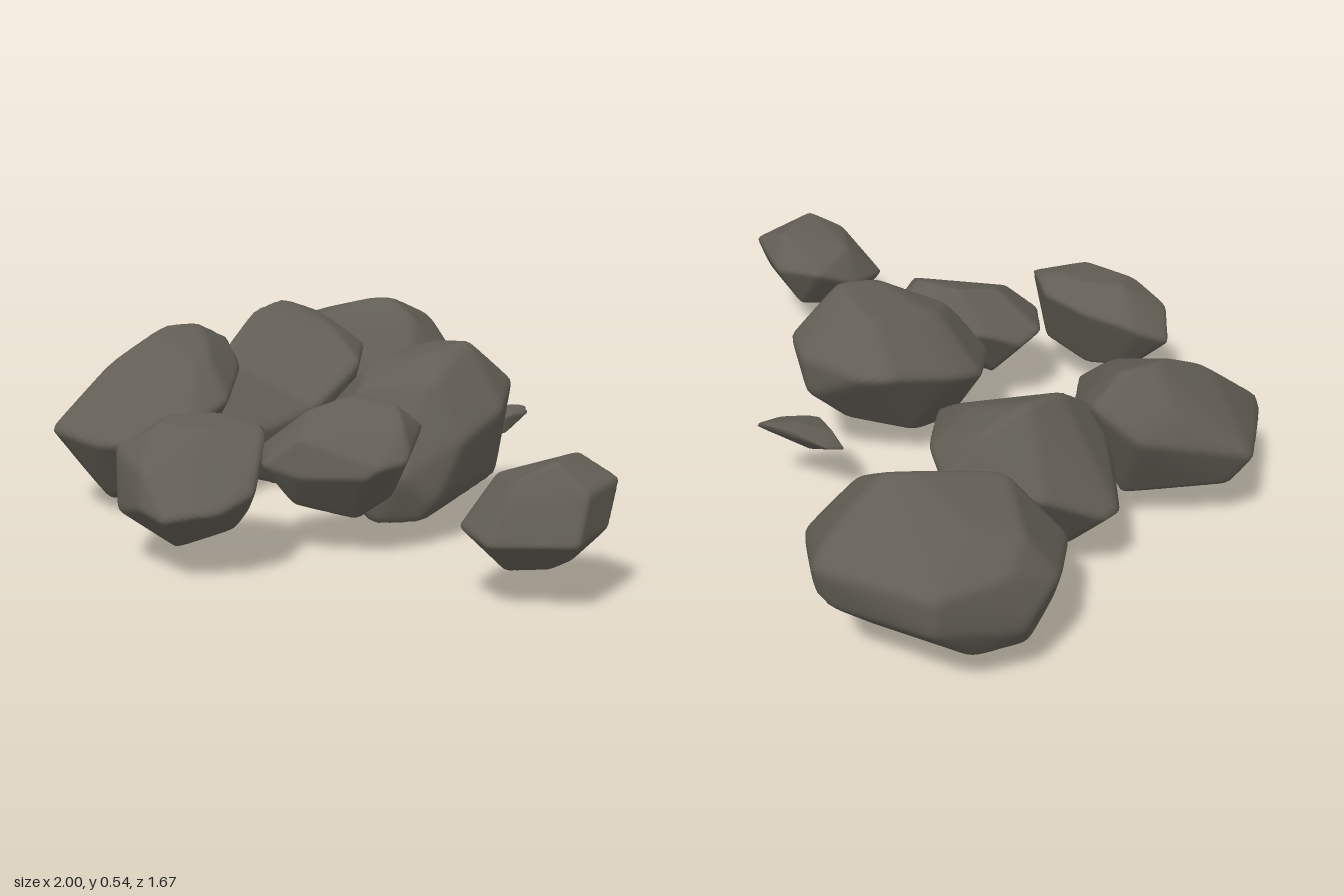
import * as THREE from 'three';
import { mergeVertices } from 'three/addons/utils/BufferGeometryUtils.js';
import { ConvexGeometry } from 'three/addons/geometries/ConvexGeometry.js';

// Corner points [x, y, z] of each boulder
const ROCKS = {
  backLeftBoulder: [
    [-.66, .36, -.84], [-.65, .27, -.82], [-.47, .32, -.74], [-.43, .3, -.64], [-.4, .25, -.48], [-.56, .25, -.3],
    [-.8, .25, -.17], [-.97, .3, -.34], [-1, .25, -.45], [-.99, .2, -.47], [-.95, .38, -.7], [-.95, .28, -.7],
    [-.97, .37, -.5], [-.64, .42, -.78], [-.6, .5, -.59], [-.78, .46, -.52], [-.7, .45, -.32], [-.9, .41, -.4],
    [-.5, .44, -.6], [-.68, .15, -.69], [-.55, .1, -.4], [-.75, .08, -.33], [-.92, .13, -.55], [-.95, .13, -.42],
    [-.5, .15, -.6], [-.84, .13, -.24], [-.62, .13, -.26]],
  middleLeftBoulder: [
    [-.56, .35, -.37], [-.45, .4, -.34], [-.3, .38, -.2], [-.29, .27, -.02], [-.4, .2, .09], [-.55, .2, .2],
    [-.73, .25, .06], [-.81, .25, 0], [-.76, .35, -.21], [-.69, .35, -.3], [-.62, .54, -.15], [-.6, .52, -.03],
    [-.58, .38, .13], [-.6, .49, -.28], [-.45, .47, -.22], [-.5, 0, .02], [-.43, .01, -.03],
    [-.6, .05, .15], [-.33, .12, -.1], [-.68, .1, -.05], [-.45, .13, -.25]],
  frontLeftBoulder: [
    [-.63, .44, .07], [-.5, .38, .1], [-.33, .33, .27], [-.3, .3, .4], [-.32, .22, .42], [-.35, .24, .57],
    [-.45, .24, .64], [-.62, .26, .68], [-.67, .24, .64], [-.84, .27, .44], [-.72, .36, .14], [-.62, .51, .28],
    [-.6, .51, .2], [-.62, .42, .48], [-.45, .44, .25], [-.72, .42, .25],
    [-.55, .04, .54], [-.48, .06, .35], [-.78, .16, .42], [-.6, .12, .2], [-.4, .1, .5]],
  frontBoulder: [
    [.07, .36, .47], [.18, .37, .52], [.25, .24, .61], [.23, .29, .6], [.23, .2, .71], [.14, .18, .82],
    [.05, .2, .83], [.04, .28, .81], [-.14, .31, .77], [-.11, .15, .79], [-.23, .25, .7], [-.2, .28, .63],
    [-.05, .34, .5], [-.1, .38, .65], [.08, .4, .55], [.1, .39, .66], [-.05, .37, .73], [0, .4, .55],
    [-.05, .1, .72], [.1, .09, .75], [.17, .13, .62], [0, .11, .59], [-.12, .13, .67], [.13, .16, .54]],
  centreBoulder: [
    [.12, .4, -.36], [.24, .4, -.32], [.12, .29, -.35], [.35, .36, -.18], [.36, .3, -.01], [.3, .2, .15],
    [.05, .25, .24], [-.12, .3, .08], [-.13, .33, -.02], [-.1, .38, -.21], [-.02, .38, -.29], [.22, .53, -.17],
    [.05, .5, -.2], [.2, .51, -.05], [.02, .47, 0], [.1, .42, .12], [.28, .45, 0],
    [.34, .13, .06], [.3, .07, .08], [.2, .06, .16], [.05, .07, .1], [.3, .16, -.2], [0, .12, -.05], [.12, .16, -.22]],
  leaningBoulder: [
    [.29, .34, .07], [.4, .3, .21], [.38, .28, .3], [.22, .24, .43], [.13, .27, .49], [0, .28, .4],
    [-.01, .26, .32], [.08, .3, .16], [.03, .31, .22], [.15, .42, .2], [.28, .41, .16], [.12, .39, .33],
    [.2, .34, .42], [.36, .37, .2], [.1, .13, .3], [.25, .11, .28], [.32, .18, .2], [.15, .15, .4]],
  outlyingBoulder: [
    [.79, .28, -.02], [.95, .32, .01], [.99, .31, .16], [1, .19, .2], [.83, .18, .34], [.71, .2, .32],
    [.66, .22, .19], [.68, .28, .06], [.9, .38, .18], [.84, .37, .04], [.72, .32, .2], [.84, .33, .26],
    [.88, .1, .17], [.77, .09, .23], [.72, .12, .22], [.78, .14, .06], [.96, .2, .06], [.95, .14, .17]],
  smallStone: [
    [.08, .27, -.53], [.1, .25, -.53], [.1, .25, -.45], [.06, .2, -.34], [.05, .165, -.345], [-.08, .2, -.36],
    [-.08, .22, -.41], [0, .26, -.47], [.03, .26, -.43], [-.02, .23, -.36], [.09, .2, -.45], [.02, .17, -.41],
    [.06, .23, -.35]],
};

const SHARPNESS = 65; // higher gives crisper edges between facets

// Facet planes of the hull, seen from its centre
function hullPlanes(points, centre) {
  const p = new ConvexGeometry(points).attributes.position;
  const planes = [];
  const tri = new THREE.Triangle();
  for (let i = 0; i < p.count; i += 3) {
    tri.setFromAttributeAndIndices(p, i, i + 1, i + 2);
    if (tri.getArea() < 1e-7) continue;
    const n = tri.getNormal(new THREE.Vector3());
    const d = n.dot(tri.a.clone().sub(centre));
    const twin = planes.find((q) => q.n.dot(n) > 0.99);
    if (twin) twin.d = Math.max(twin.d, d);
    else planes.push({ n, d });
  }
  return planes;
}

// A sphere pushed onto the facet planes, with softly worn edges
function rockGeometry(corners) {
  const points = corners.map((c) => new THREE.Vector3(...c));
  const centre = points.reduce((s, v) => s.add(v), new THREE.Vector3()).divideScalar(points.length);
  const planes = hullPlanes(points, centre);
  let geo = new THREE.IcosahedronGeometry(1, 20);
  geo.deleteAttribute('uv');
  geo.deleteAttribute('normal');
  geo = mergeVertices(geo, 1e-4);
  const pos = geo.attributes.position;
  const v = new THREE.Vector3();
  for (let i = 0; i < pos.count; i++) {
    v.fromBufferAttribute(pos, i).normalize();
    const ratios = planes.map((q) => Math.max(0, q.n.dot(v) / q.d));
    const top = Math.max(...ratios);
    const sum = ratios.reduce((s, k) => s + (k / top) ** SHARPNESS, 0);
    v.divideScalar(top * sum ** (1 / SHARPNESS));
    pos.setXYZ(i, v.x, v.y, v.z);
  }
  // Restore the size lost to the worn edges
  const want = new THREE.Box3().setFromPoints(points);
  const have = new THREE.Box3().setFromBufferAttribute(pos);
  const scale = want.getSize(new THREE.Vector3()).divide(have.getSize(new THREE.Vector3()));
  const mid = have.getCenter(new THREE.Vector3());
  geo.translate(-mid.x, -mid.y, -mid.z);
  geo.scale(scale.x, scale.y, scale.z);
  want.getCenter(mid);
  geo.translate(mid.x, mid.y, mid.z);
  geo.computeVertexNormals();
  return geo;
}

export function createModel() {
  const model = new THREE.Group();
  model.name = 'boulders';
  const stone = new THREE.MeshStandardMaterial({ color: 0x625e55 });
  stone.name = 'stone';
  for (const [name, corners] of Object.entries(ROCKS)) {
    const mesh = new THREE.Mesh(rockGeometry(corners), stone);
    mesh.name = name;
    model.add(mesh);
  }
  return model;
}
